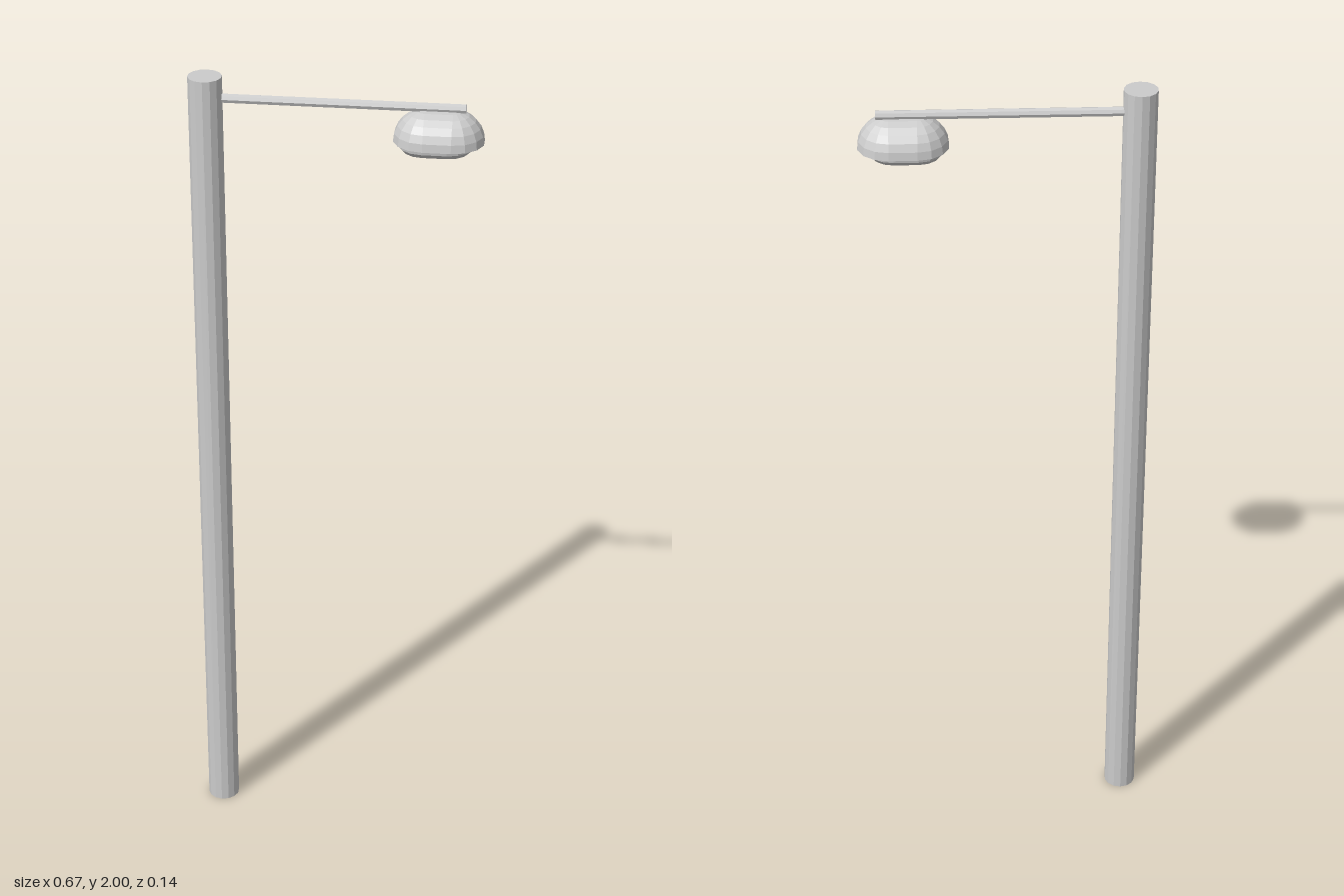
import * as THREE from 'three';

const metal = new THREE.MeshStandardMaterial({ color: 0xcccccc, flatShading: true, side: THREE.DoubleSide });

// Sweeps a top-to-bottom [radius, y] profile around a stadium outline
function stadiumLoft(profile, halfStraight, steps = 7) {
  const outline = [];
  for (const side of [1, -1]) {
    for (let i = 0; i <= steps; i++) {
      const a = -Math.PI / 2 + (i / steps) * Math.PI;
      outline.push([side * Math.cos(a), side * Math.sin(a), side * halfStraight]);
    }
  }
  const n = outline.length, positions = [], indices = [];
  for (const [r, y] of profile) {
    for (const [c, s, shift] of outline) positions.push(r * c + shift, y, r * s);
  }
  for (let j = 0; j < profile.length - 1; j++) {
    for (let i = 0; i < n; i++) {
      const a = j * n + i, b = j * n + (i + 1) % n;
      indices.push(a, b, a + n, b, b + n, a + n);
    }
  }
  const geometry = new THREE.BufferGeometry();
  geometry.setAttribute('position', new THREE.Float32BufferAttribute(positions, 3));
  geometry.setIndex(indices);
  geometry.computeVertexNormals();
  return geometry;
}

function addPart(parent, name, geometry, x, y, z = 0) {
  const mesh = new THREE.Mesh(geometry, metal);
  mesh.name = name;
  mesh.position.set(x, y, z);
  parent.add(mesh);
  return mesh;
}

export function createModel() {
  const model = new THREE.Group();
  model.name = 'streetLamp';

  // Upright pole and horizontal arm
  addPart(model, 'pole', new THREE.CylinderGeometry(0.039, 0.039, 2, 14), -0.297, 1);
  const arm = addPart(model, 'arm', new THREE.CylinderGeometry(0.011, 0.011, 0.57, 8), 0.006, 1.948, -0.002);
  arm.rotation.z = Math.PI / 2;

  const head = new THREE.Group();
  head.name = 'lampHead';
  head.position.set(0.231, 1.87, 0);
  model.add(head);

  // Domed hood with a narrow rim turned in underneath
  const hood = [];
  for (let i = 0; i <= 6; i++) {
    const a = (i / 6) * Math.PI / 2;
    hood.push([0.072 * Math.sin(a), 0.073 * Math.cos(a)]);
  }
  hood.push([0.06, -0.002]);
  addPart(head, 'hood', stadiumLoft(hood, 0.032), 0, 0);

  // Shallow lens bulging below the hood
  const lens = [[0.06, 0], [0.058, -0.012], [0.048, -0.023], [0.03, -0.03], [0.012, -0.033], [0, -0.033]];
  addPart(head, 'lens', stadiumLoft(lens, 0.028), -0.006, 0);

  return model;
}
